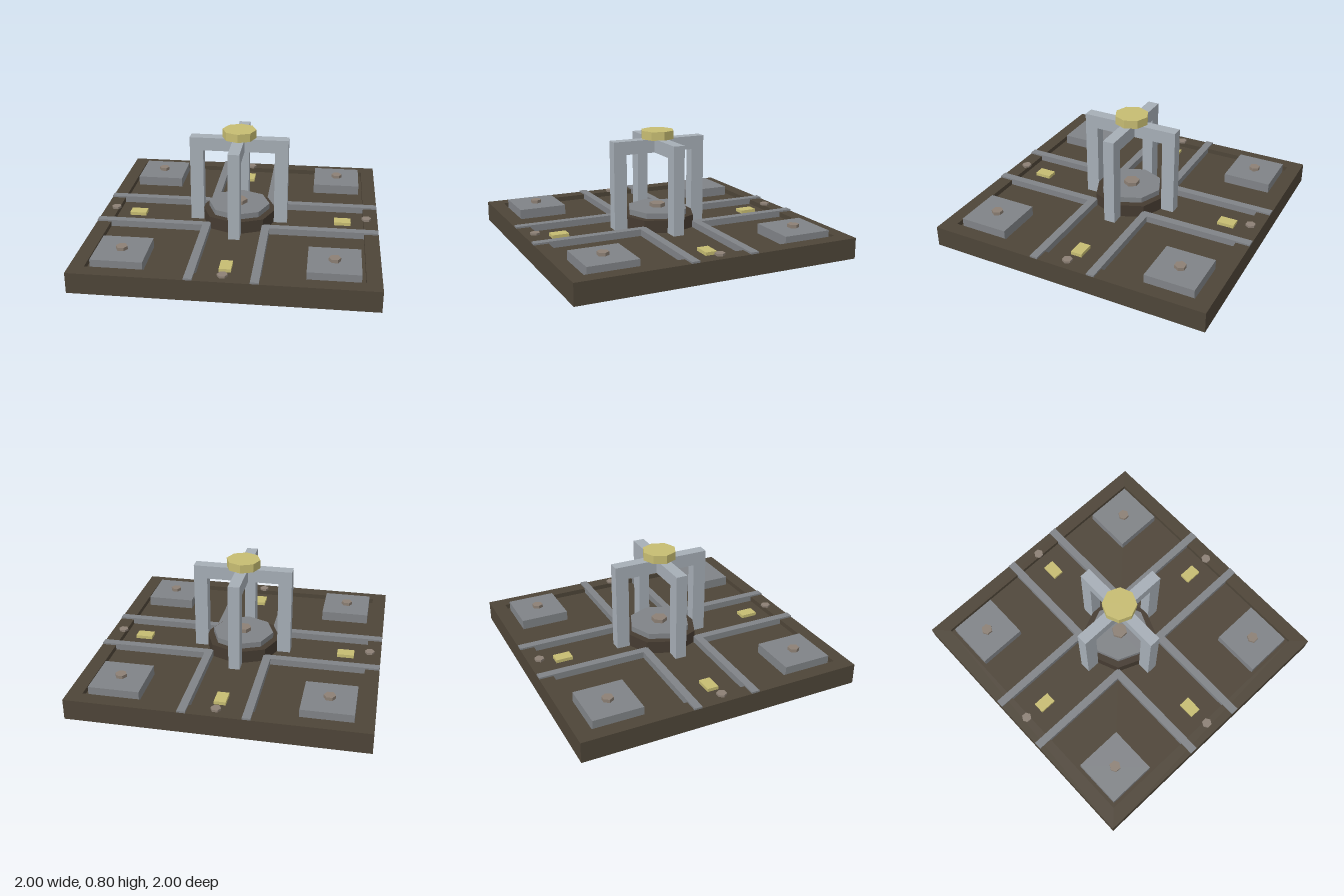
import * as THREE from 'three';

const mat = (name, color) => Object.assign(new THREE.MeshStandardMaterial({ color, flatShading: true }), { name });

export function createModel() {
  const model = new THREE.Group();
  model.name = 'floorDevice';
  const brown = mat('dark brown', 0x4e4538);
  const darkBrown = mat('deep brown', 0x453b31);
  const grey = mat('grey metal', 0x808387);
  const light = mat('light steel', 0xa6aeb6);
  const gold = mat('pale gold', 0xc6bc72);
  const bolt = mat('bolt bronze', 0x8c8075);

  const add = (name, geo, material, parent = model) => {
    const mesh = new THREE.Mesh(geo, material);
    mesh.name = name;
    parent.add(mesh);
    return mesh;
  };
  // Box given by its minimum and maximum corners
  const box = (name, m, x0, x1, y0, y1, z0, z1, parent) => {
    const mesh = add(name, new THREE.BoxGeometry(x1 - x0, y1 - y0, z1 - z0), m, parent);
    mesh.position.set((x0 + x1) / 2, (y0 + y1) / 2, (z0 + z1) / 2);
  };
  // Upright prism, first corner on the z axis
  const prism = (name, m, r, sides, y0, y1, x = 0, z = 0, parent, turn = 0) => {
    const mesh = add(name, new THREE.CylinderGeometry(r, r, y1 - y0, sides), m, parent);
    mesh.position.set(x, (y0 + y1) / 2, z);
    mesh.rotation.y = turn;
  };

  const floor = 0.11, rim = 0.145;

  // Base slab with a raised rim
  box('baseSlab', brown, -1, 1, 0, floor, -1, 1);
  const square = (P, s) => {
    const p = new P();
    p.moveTo(-s, -s).lineTo(s, -s).lineTo(s, s).lineTo(-s, s).closePath();
    return p;
  };
  const rimShape = square(THREE.Shape, 1);
  rimShape.holes.push(square(THREE.Path, 0.9));
  const rimGeo = new THREE.ExtrudeGeometry(rimShape, { depth: rim - floor, bevelEnabled: false });
  rimGeo.rotateX(-Math.PI / 2).translate(0, floor, 0);
  add('baseRim', rimGeo, brown);

  // Half outline of one arched arm, from leg foot to centre
  const armShape = new THREE.Shape([
    [0, 0.645], [0.255, 0.645], [0.255, floor], [0.35, floor], [0.35, 0.74], [0, 0.74],
  ].map(([x, y]) => new THREE.Vector2(x, y)));
  const armGeo = new THREE.ExtrudeGeometry(armShape, { depth: 0.08, bevelEnabled: false });
  armGeo.translate(0, 0, -0.04);

  // Everything that repeats on the four sides
  for (let i = 0; i < 4; i++) {
    const side = new THREE.Group();
    side.name = 'quarter' + (i + 1);
    side.rotation.y = i * Math.PI / 2;
    model.add(side);

    add('archArm', armGeo, light, side);

    // Pair of rails running out to the edge
    box('railLeft', grey, 0.182, 0.999, floor, 0.157, 0.182, 0.238, side);
    box('railRight', grey, 0.238, 0.999, floor, 0.157, -0.238, -0.182, side);

    // Corner pad with its bolt
    box('cornerPad', grey, 0.525, 0.872, floor, 0.18, 0.525, 0.872, side);
    prism('padBolt', bolt, 0.04, 6, 0.18, 0.203, 0.7, 0.7, side, i % 2 ? 0 : Math.PI / 2);

    // Floor marker and rim bolt
    box('goldMarker', gold, 0.69, 0.81, floor, 0.133, -0.04, 0.04, side);
    prism('rimBolt', bolt, 0.035, 6, rim, 0.16, 0.92, 0, side, i % 2 ? 0 : Math.PI / 2);
  }

  // Stepped centre pedestal and the cap over the arch
  prism('pedestalBase', darkBrown, 0.27, 8, floor, 0.2);
  prism('pedestalTop', grey, 0.22, 8, 0.2, 0.24);
  prism('pedestalBolt', bolt, 0.057, 6, 0.24, 0.268, 0, 0, model, Math.PI / 2);
  prism('archCap', gold, 0.12, 8, 0.74, 0.8);

  return model;
}
